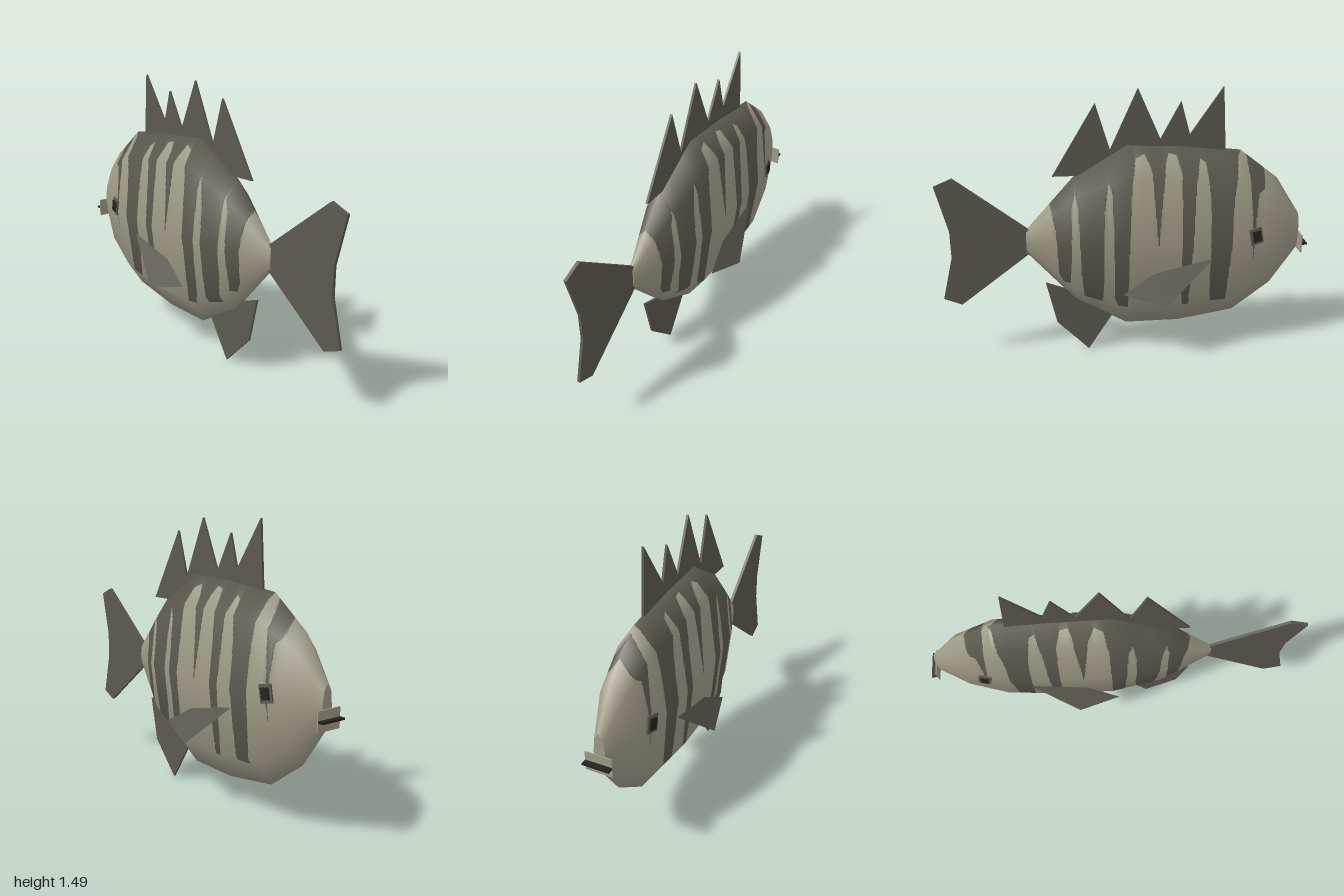
import * as THREE from 'three';

const mat = (name, color, side = THREE.FrontSide) => {
  const m = new THREE.MeshStandardMaterial({ color, side });
  m.name = name;
  return m;
};

// Body sections: z, bottom y, top y, half width
const SECTIONS = [
  [-0.957, 0.57, 0.78, 0.03], [-0.82, 0.365, 0.99, 0.09], [-0.61, 0.205, 1.15, 0.13],
  [-0.3, 0.155, 1.187, 0.14], [0, 0.155, 1.2, 0.14], [0.28, 0.315, 1.03, 0.108], [0.54, 0.61, 0.74, 0.015],
];
// Cross-section: height fraction, width fraction
const RIB = [[0, 0], [0.145, 0.72], [0.5, 1], [0.855, 0.72], [1, 0]];
// Lower edge of the dark markings: z, y (head to tail)
const MARKING = [
  [-0.957, 2], [-0.747, 2], [-0.745, 0.98], [-0.735, 0.95], [-0.705, 0.93], [-0.695, 0.8], [-0.688, 0.55],
  [-0.672, 0.8], [-0.65, 1.05], [-0.64, 1.15], [-0.615, 1.16], [-0.595, 1.12], [-0.565, 0.9], [-0.56, 0.6],
  [-0.545, 0.31], [-0.46, 0.31], [-0.45, 0.4], [-0.44, 0.9], [-0.415, 1.1], [-0.385, 1.12], [-0.36, 1],
  [-0.345, 0.6], [-0.335, 0.3], [-0.3, 0.3], [-0.29, 0.4], [-0.285, 1.05], [-0.26, 1.14], [-0.22, 1.15],
  [-0.2, 1.1], [-0.18, 0.9], [-0.16, 0.65], [-0.14, 0.9], [-0.125, 1.08], [-0.09, 1.15], [-0.045, 1.13],
  [-0.02, 1], [-0.005, 0.6], [0, 0.3], [0.05, 0.3], [0.07, 0.35], [0.08, 0.95], [0.1, 1.02], [0.125, 0.85],
  [0.13, 0.45], [0.14, 0.33], [0.235, 0.36], [0.25, 0.5], [0.26, 0.88], [0.275, 0.95], [0.295, 0.88],
  [0.3, 0.6], [0.31, 0.45], [0.345, 0.45], [0.37, 0.5], [0.38, 0.75], [0.412, 0.9], [0.415, 2], [0.54, 2],
];

// Linear lookup of column k in a table sorted on column 0
function lookup(table, v, k) {
  let i = 1;
  while (i < table.length - 1 && table[i][0] < v) i++;
  const a = table[i - 1], b = table[i];
  return THREE.MathUtils.lerp(a[k], b[k], THREE.MathUtils.clamp((v - a[0]) / (b[0] - a[0]), 0, 1));
}

// Point on the +x flank; t runs from belly to back and wraps to the other flank
function flank(z, t) {
  const s = t < 0 ? -1 : t > 1 ? -1 : 1;
  const u = t < 0 ? -t : t > 1 ? 2 - t : t;
  const lo = lookup(SECTIONS, z, 1), hi = lookup(SECTIONS, z, 2);
  return new THREE.Vector3(s * lookup(RIB, u, 1) * lookup(SECTIONS, z, 3), lo + (hi - lo) * u, z);
}

function flankNormal(z, t) {
  const dz = flank(Math.min(z + 0.08, 0.54), t).sub(flank(Math.max(z - 0.08, -0.957), t));
  const dt = flank(z, t + 0.1).sub(flank(z, t - 0.1));
  return dt.cross(dz).normalize();
}

// Skin of one colour: narrow columns, each cut at the marking edge
function skin(dark) {
  const pos = [], nor = [];
  const quad = (z0, z1, t0, t1) => {
    const c = [[z0, t0], [z0, t1], [z1, t1], [z1, t0]];
    const p = c.map(q => flank(...q)), n = c.map(q => flankNormal(...q));
    for (const s of [1, -1]) {
      for (const i of s > 0 ? [0, 1, 2, 0, 2, 3] : [0, 2, 1, 0, 3, 2]) {
        pos.push(s * p[i].x, p[i].y, p[i].z);
        nor.push(s * n[i].x, n[i].y, n[i].z);
      }
    }
  };
  const zs = SECTIONS.flatMap(([z], i) => {
    if (i === SECTIONS.length - 1) return [z];
    const next = SECTIONS[i + 1][0], n = Math.ceil((next - z) / 0.004);
    return Array.from({ length: n }, (_, k) => z + (next - z) * k / n);
  });
  for (let i = 0; i < zs.length - 1; i++) {
    const zm = (zs[i] + zs[i + 1]) / 2;
    const lo = lookup(SECTIONS, zm, 1), hi = lookup(SECTIONS, zm, 2);
    const cut = THREE.MathUtils.clamp((lookup(MARKING, zm, 1) - lo) / (hi - lo), 0, 1);
    for (let r = 0; r < RIB.length - 1; r++) {
      const t0 = dark ? Math.max(RIB[r][0], cut) : RIB[r][0];
      const t1 = dark ? RIB[r + 1][0] : Math.min(RIB[r + 1][0], cut);
      if (t1 - t0 > 1e-5) quad(zs[i], zs[i + 1], t0, t1);
    }
  }
  const g = new THREE.BufferGeometry();
  g.setAttribute('position', new THREE.Float32BufferAttribute(pos, 3));
  g.setAttribute('normal', new THREE.Float32BufferAttribute(nor, 3));
  return g;
}

// Flat end of the body
function endCap(z) {
  const [, lo, hi, w] = SECTIONS.find(s => s[0] === z);
  const right = RIB.map(([t, x]) => new THREE.Vector2(x * w, lo + (hi - lo) * t));
  const left = right.slice(1, -1).reverse().map(p => new THREE.Vector2(-p.x, p.y));
  return new THREE.ShapeGeometry(new THREE.Shape([...right, ...left])).translate(0, 0, z);
}

// Thin upright fin from a z, y outline
function fin(points, depth = 0.012) {
  const shape = new THREE.Shape(points.map(([z, y]) => new THREE.Vector2(-z, y)));
  return new THREE.ExtrudeGeometry(shape, { depth, bevelEnabled: false })
    .translate(0, 0, -depth / 2).rotateY(Math.PI / 2);
}

// Single-surface patch from corner points
function patch(corners, index) {
  const g = new THREE.BufferGeometry();
  g.setAttribute('position', new THREE.Float32BufferAttribute(corners.flat(), 3));
  g.setIndex(index);
  const flat = g.toNonIndexed();
  flat.computeVertexNormals();
  return flat;
}

export function createModel() {
  const model = new THREE.Group();
  const pale = mat('pale scales', 0x9f9b87, THREE.DoubleSide);
  const dark = mat('dark scales', 0x5b594e, THREE.DoubleSide);
  const black = mat('eye black', 0x23221e, THREE.DoubleSide);
  const add = (name, geometry, material, parent = model) => {
    const m = new THREE.Mesh(geometry, material);
    m.name = name;
    parent.add(m);
    return m;
  };

  // Body
  add('paleSkin', skin(false), pale);
  add('darkStripes', skin(true), dark);
  add('snoutEnd', endCap(-0.957), pale);
  add('tailRoot', endCap(0.54), pale);

  // Upright fins
  add('dorsalFin', fin([
    [0.39, 1.035], [0.16, 1.415], [0.085, 1.17], [-0.06, 1.487], [-0.18, 1.22], [-0.285, 1.415],
    [-0.335, 1.24], [-0.505, 1.487], [-0.53, 1.12], [-0.3, 1.13], [0, 1.14], [0.25, 1.035],
  ]), dark);
  add('tailFin', fin([
    [0.52, 0.74], [0.905, 1.04], [1, 1], [0.94, 0.75], [0.94, 0.6], [1, 0.36], [0.905, 0.32], [0.52, 0.61],
  ], 0.016), dark);
  add('analFin', fin([[0.445, 0.425], [0.39, 0.18], [0.215, 0], [0.08, 0.21], [0.1, 0.3], [0.3, 0.37]]), dark);

  for (const s of [1, -1]) {
    const side = s > 0 ? 'left' : 'right';
    // Side fins
    add(side + 'SideFin', patch([
      [s * 0.135, 0.585, -0.46], [s * 0.138, 0.512, -0.14], [s * 0.168, 0.41, 0.035], [s * 0.222, 0.35, -0.195],
    ], s > 0 ? [0, 3, 1, 1, 3, 2] : [0, 1, 3, 1, 2, 3]), dark);
    // Eyes
    const eye = new THREE.Group();
    eye.name = side + 'Eye';
    eye.position.set(s * 0.123, 0.7, -0.693);
    eye.rotation.set(0.2, s * 0.2, 0);
    add('eyeRim', new THREE.BoxGeometry(0.009, 0.09, 0.07), dark, eye);
    add('pupil', new THREE.BoxGeometry(0.009, 0.06, 0.045), black, eye).position.x = s * 0.008;
    model.add(eye);
  }

  // Mouth
  add('lips', new THREE.BoxGeometry(0.14, 0.1, 0.006), pale).position.set(0, 0.62, -0.968);
  add('mouthLine', new THREE.BoxGeometry(0.14, 0.01, 0.03), black).position.set(0, 0.62, -0.985);
  return model;
}
